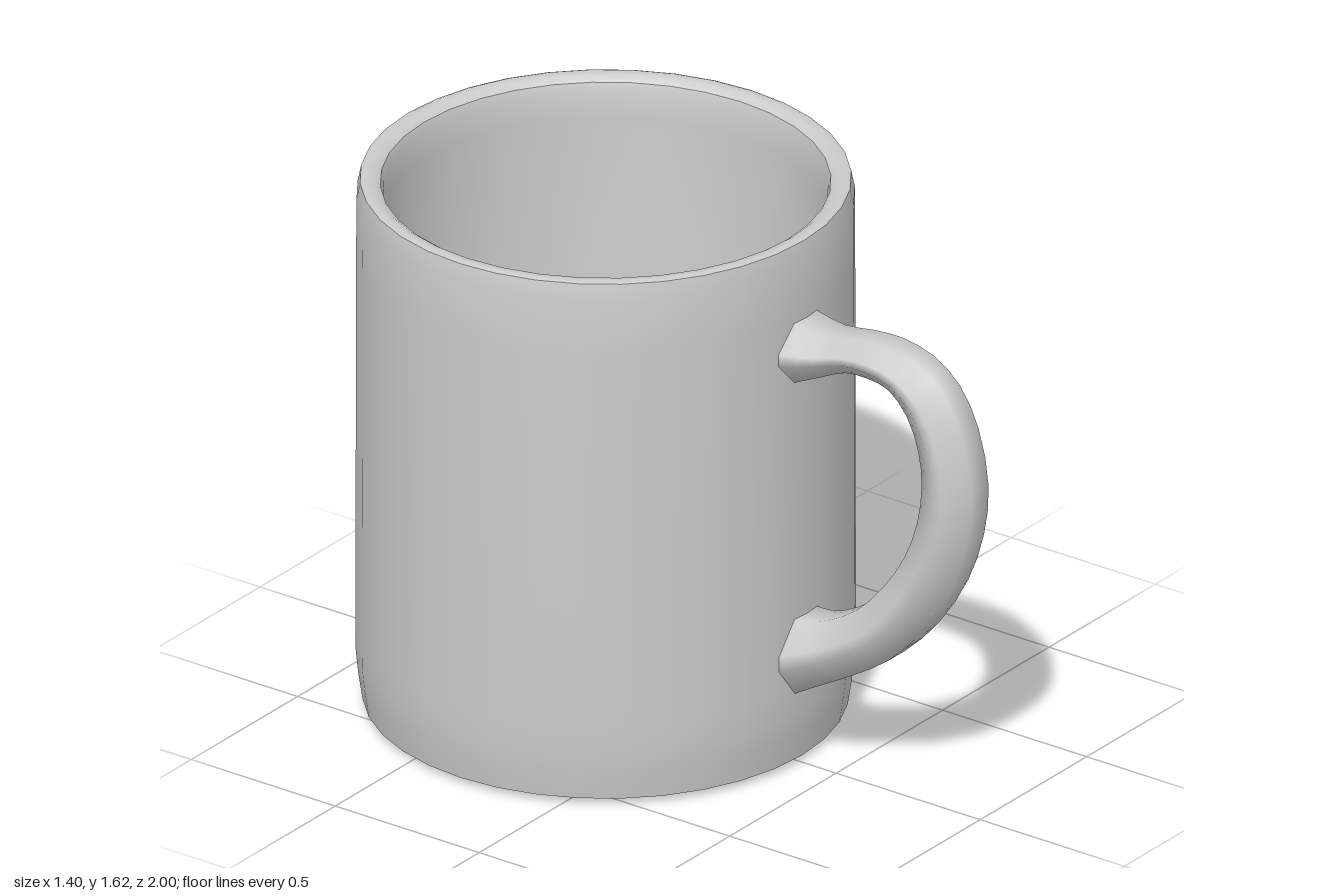
import * as THREE from 'three';
import { toCreasedNormals } from 'three/addons/utils/BufferGeometryUtils.js';

const material = new THREE.MeshStandardMaterial({ color: 0xcccccc });

// Cup: one closed profile from the foot recess, up the outside, over the rim and down to the inner floor
function createCup() {
  const profile = [
    [0, 0.05], [0.53, 0.05], [0.55, 0.04], [0.56, 0.005], [0.575, 0], [0.68, 0.02],
    [0.692, 0.1], [0.699, 0.17], [0.7, 0.25], [0.698, 1.4], [0.697, 1.57], [0.687, 1.62],
    [0.675, 1.625], [0.65, 1.622], [0.63, 1.608], [0.622, 1.58], [0.62, 1.5], [0.62, 0.3],
    [0.607, 0.23], [0.57, 0.165], [0.515, 0.12], [0.45, 0.1], [0, 0.1],
  ].map(([r, y]) => new THREE.Vector2(r, y));
  const geometry = toCreasedNormals(new THREE.LatheGeometry(profile, 36), Math.PI / 5);
  const cup = new THREE.Mesh(geometry, material);
  cup.name = 'cup';
  cup.position.z = -0.3;
  return cup;
}

// Handle: chamfered cross-sections swept between an outer and an inner edge curve
function createHandle() {
  // outer z, outer y, inner z, inner y, half width
  const stations = [
    [0.36, 1.39, 0.36, 1.19, 0.12],
    [0.4, 1.385, 0.4, 1.205, 0.117],
    [0.5, 1.375, 0.48, 1.24, 0.095],
    [0.6, 1.39, 0.56, 1.275, 0.088],
    [0.7, 1.395, 0.635, 1.28, 0.088],
    [0.81, 1.37, 0.71, 1.265, 0.088],
    [0.9, 1.305, 0.775, 1.2, 0.088],
    [0.965, 1.19, 0.815, 1.1, 0.088],
    [1.0, 1.02, 0.826, 1.0, 0.088],
    [0.985, 0.87, 0.81, 0.88, 0.088],
    [0.93, 0.71, 0.765, 0.76, 0.088],
    [0.83, 0.55, 0.69, 0.645, 0.088],
    [0.71, 0.425, 0.6, 0.55, 0.088],
    [0.58, 0.34, 0.5, 0.49, 0.09],
    [0.48, 0.285, 0.44, 0.472, 0.105],
    [0.4, 0.24, 0.4, 0.468, 0.117],
    [0.36, 0.22, 0.36, 0.465, 0.12],
  ];
  const section = [[1, -0.45], [1, 0.45], [0.2, 1], [-0.2, 1], [-1, 0.45], [-1, -0.45], [-0.2, -1], [0.2, -1]];
  const curve = (f) => new THREE.CatmullRomCurve3(stations.map(f));
  const outer = curve((s) => new THREE.Vector3(0, s[1], s[0]));
  const inner = curve((s) => new THREE.Vector3(s[4], s[3], s[2])); // x carries the half width
  const steps = 32, sides = section.length;
  const positions = [], indices = [];
  for (let i = 0; i <= steps; i++) {
    const o = outer.getPoint(i / steps), n = inner.getPoint(i / steps);
    for (const [d, w] of section) {
      const t = (1 + d) / 2;
      positions.push(w * n.x, n.y + (o.y - n.y) * t, n.z + (o.z - n.z) * t);
    }
  }
  for (let i = 0; i < steps; i++) {
    for (let j = 0; j < sides; j++) {
      const a = i * sides + j, c = i * sides + (j + 1) % sides;
      indices.push(a, a + sides, c, c, a + sides, c + sides);
    }
  }
  const geometry = new THREE.BufferGeometry();
  geometry.setAttribute('position', new THREE.Float32BufferAttribute(positions, 3));
  geometry.setIndex(indices);
  geometry.computeVertexNormals();
  const handle = new THREE.Mesh(geometry, material);
  handle.name = 'handle';
  return handle;
}

export function createModel() {
  const mug = new THREE.Group();
  mug.name = 'mug';
  mug.add(createCup(), createHandle());
  return mug;
}
